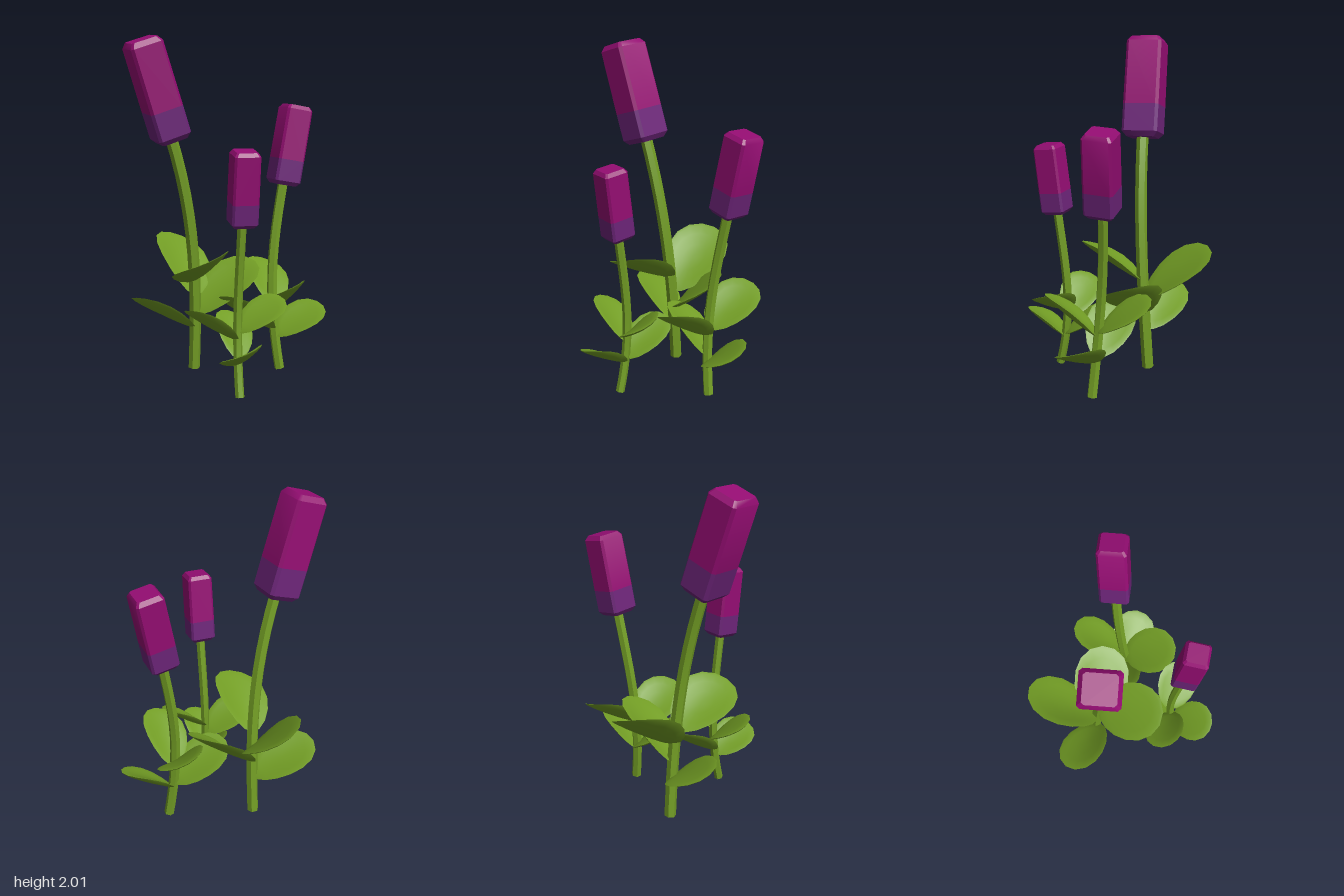
import * as THREE from 'three';
import { mergeVertices, toCreasedNormals } from 'three/addons/utils/BufferGeometryUtils.js';
import { ConvexGeometry } from 'three/addons/geometries/ConvexGeometry.js';

const V = (x, y, z) => new THREE.Vector3(x, y, z);
const UP = V(0, 1, 0);

// Four leaves per plant, a quarter turn apart from the front:
// [height on stem, reach, rise, width, extra turn]
const TALL_LEAVES = [
  [0.56, 0.4, 0.2, 0.345, 0],
  [0.35, 0.385, 0.29, 0.345, 0.08],
  [0.46, 0.405, 0.31, 0.36, 0.18],
  [0.26, 0.38, 0.2, 0.29, -0.13],
];
const MEDIUM_LEAVES = [
  [0.37, 0.325, 0.22, 0.285, 0.07],
  [0.215, 0.305, 0.165, 0.275, -0.05],
  [0.41, 0.325, 0.21, 0.285, -0.06],
  [0.235, 0.335, 0.23, 0.275, 0],
];
const SHORT_LEAVES = [
  [0.18, 0.265, 0.14, 0.25, -0.1],
  [0.36, 0.27, 0.17, 0.25, -0.06],
  [0.2, 0.29, 0.2, 0.23, -0.06],
  [0.31, 0.295, 0.19, 0.24, -0.03],
];
const LEAF_ROLL = 0.35;

// Faceted tube closed at its foot
function addStem(group, curve, radius, material) {
  const stem = new THREE.Mesh(toCreasedNormals(new THREE.TubeGeometry(curve, 12, radius, 6), 0.6), material);
  stem.name = 'stem';
  const foot = new THREE.Mesh(new THREE.CircleGeometry(radius, 6).rotateX(Math.PI / 2), material);
  foot.name = 'stemFoot';
  foot.position.copy(curve.v0);
  group.add(stem, foot);
}

// Egg-shaped leaf: a squashed sphere, narrow at the stem, with both sides curling up
function makeLeaf(base, span, width, material) {
  const length = span.length();
  const dir = span.clone().normalize();
  let geo = new THREE.SphereGeometry(1, 16, 8);
  geo.deleteAttribute('uv');
  geo.deleteAttribute('normal');
  geo = mergeVertices(geo);
  const p = geo.attributes.position;
  for (let i = 0; i < p.count; i++) {
    const x = p.getX(i), y = p.getY(i), z = p.getZ(i);
    const curl = 0.12 * width * z * z;
    p.setXYZ(i, length * (0.5 + 0.5 * x), curl + 0.013 * y, width * 0.5 * z * (1 + 0.2 * x));
  }
  geo.rotateX(LEAF_ROLL);
  const side = V().crossVectors(dir, UP).normalize();
  const normal = V().crossVectors(side, dir);
  geo.applyMatrix4(new THREE.Matrix4().makeBasis(dir, normal, side).setPosition(base));
  const leaf = new THREE.Mesh(toCreasedNormals(geo, 0.9), material);
  leaf.name = 'leaf';
  return leaf;
}

// Chamfered square block through rings of [height, scale]
function makeBlock(rings, w, d, material, name) {
  const pts = [];
  for (const [y, s] of rings)
    for (const sx of [-1, 1])
      for (const sz of [-1, 1])
        for (const [a, b] of [[0.5, 0.42], [0.42, 0.5]])
          pts.push(V(sx * a * s * w, y, sz * b * s * d));
  const block = new THREE.Mesh(toCreasedNormals(new ConvexGeometry(pts), 0.6), material);
  block.name = name;
  return block;
}

// Two-tone flower head leaning along its axis and turned about it
function makeFlower(from, axis, h, w, d, turn, lower, upper) {
  const flower = new THREE.Group();
  flower.name = 'flowerHead';
  flower.position.copy(from);
  flower.quaternion.setFromUnitVectors(UP, axis);
  flower.rotateY(turn);
  flower.add(
    makeBlock([[0, 0.78], [0.05 * h, 1], [0.32 * h, 1]], w, d, lower, 'lowerPetals'),
    makeBlock([[0.32 * h, 1], [0.95 * h, 0.98], [h, 0.78]], w, d, upper, 'upperPetals'),
  );
  return flower;
}

export function createModel() {
  const mat = (name, color) => {
    const m = new THREE.MeshStandardMaterial({ color });
    m.name = name;
    return m;
  };
  const green = mat('leafGreen', 0x739e25);
  const purple = mat('purple', 0x6c2478);
  const magenta = mat('magenta', 0x940d72);
  const model = new THREE.Group();
  model.name = 'flowers';

  // The stem rises from its foot through a bend and flows into the flower's axis
  function addPlant(name, radius, foot, bend, from, to, w, d, turn, leaves) {
    const group = new THREE.Group();
    group.name = name;
    const axis = to.clone().sub(from), h = axis.length();
    axis.normalize();
    const approach = from.clone().addScaledVector(axis, -0.32 * from.y);
    const neck = from.clone().addScaledVector(axis, 0.03);
    const curve = new THREE.CubicBezierCurve3(foot, bend, approach, neck);
    addStem(group, curve, radius, green);

    const samples = curve.getPoints(80);
    leaves.forEach(([height, reach, rise, width, extra], i) => {
      const base = samples.find((q) => q.y >= height);
      const heading = i * Math.PI / 2 + extra;
      const span = V(reach * Math.sin(heading), rise, reach * Math.cos(heading));
      group.add(makeLeaf(base, span, width, green));
    });
    group.add(makeFlower(from, axis, h, w, d, turn, purple, magenta));
    model.add(group);
  }

  addPlant('tallPlant', 0.035, V(-0.18, 0.01, -0.19), V(-0.165, 0.6, -0.15),
    V(-0.325, 1.412, -0.078), V(-0.5, 1.975, -0.032), 0.195, 0.215, 0.12, TALL_LEAVES);
  addPlant('mediumPlant', 0.03, V(0.32, 0.01, -0.05), V(0.24, 0.5, -0.07),
    V(0.357, 1.125, -0.137), V(0.446, 1.592, -0.166), 0.163, 0.172, 0.08, MEDIUM_LEAVES);
  addPlant('shortPlant', 0.026, V(-0.033, 0, 0.34), V(-0.035, 0.4, 0.235),
    V(-0.022, 0.978, 0.338), V(-0.018, 1.39, 0.388), 0.147, 0.148, 0, SHORT_LEAVES);
  return model;
}
